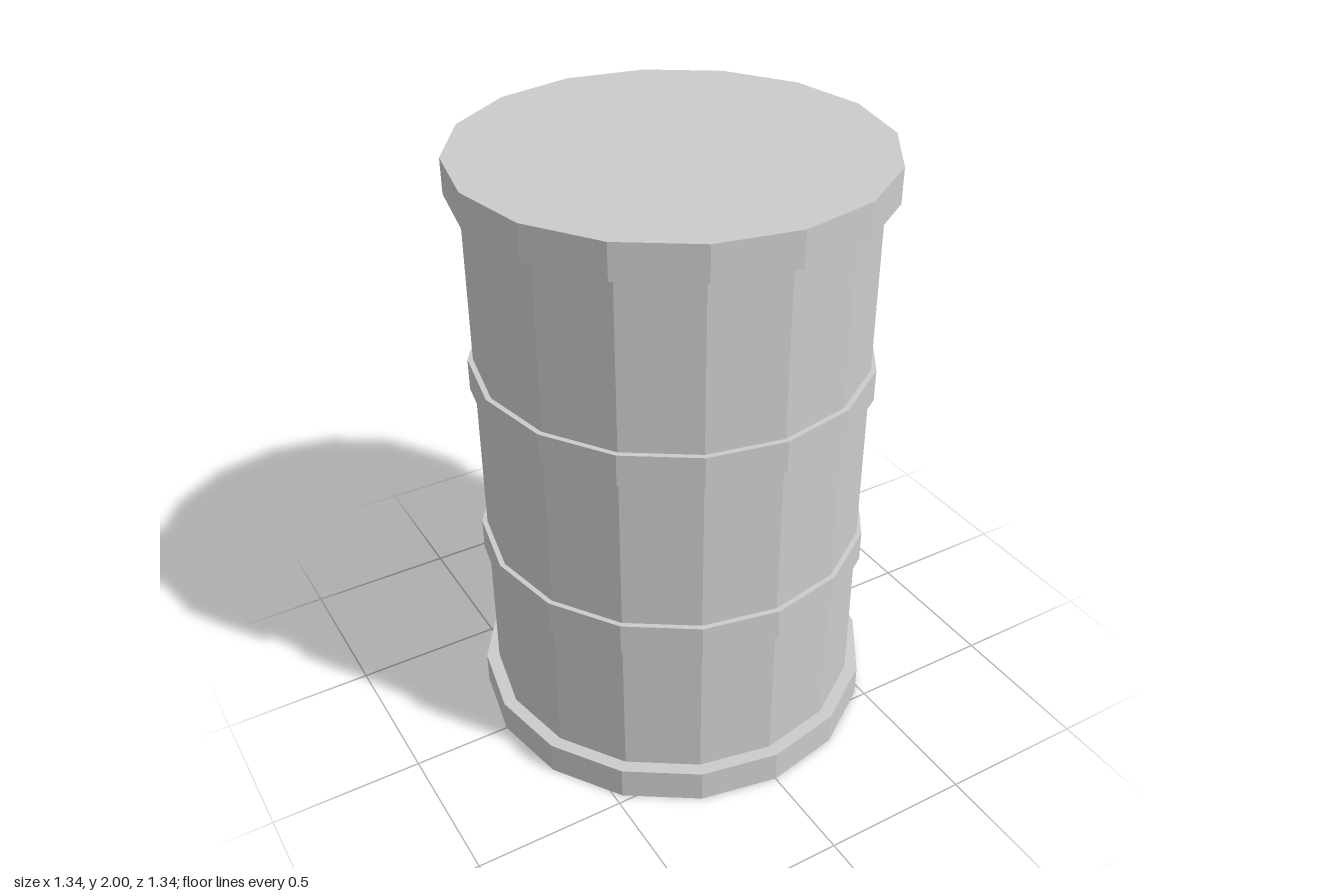
import * as THREE from 'three';

const SIDES = 16;

export function createModel() {
  const barrel = new THREE.Group();
  barrel.name = 'barrel';
  const material = new THREE.MeshStandardMaterial({ color: 0xcccccc, flatShading: true });

  // Upright 16-sided drum section between two heights
  const addDrum = (name, radius, bottom, top, open = false) => {
    const geometry = new THREE.CylinderGeometry(radius, radius, top - bottom, SIDES, 1, open);
    const mesh = new THREE.Mesh(geometry, material);
    mesh.name = name;
    mesh.position.y = (bottom + top) / 2;
    barrel.add(mesh);
  };

  // Main wall, its ends covered by the rims
  addDrum('body', 0.628, 0.11, 1.89, true);

  // Wide end caps
  addDrum('bottomRim', 0.672, 0, 0.112);
  addDrum('topRim', 0.672, 1.888, 2);

  // Raised hoops around the wall
  addDrum('lowerHoop', 0.645, 0.602, 0.708);
  addDrum('upperHoop', 0.645, 1.228, 1.334);

  return barrel;
}
